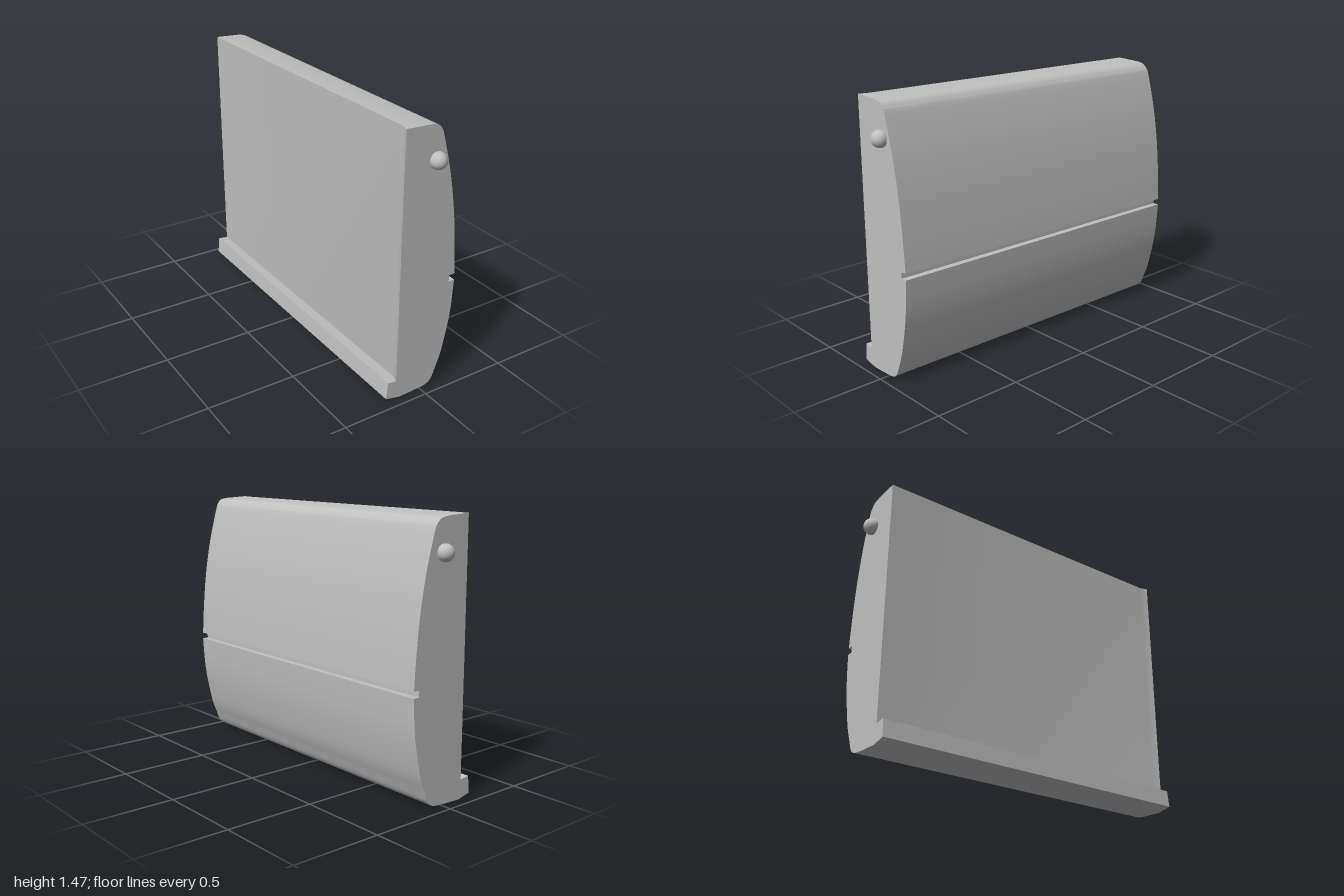
import * as THREE from 'three';
import { toCreasedNormals } from 'three/addons/utils/BufferGeometryUtils.js';

const FRONT = 0.945, BACK = -0.94, BEVEL = 0.9;

export function createModel() {
  const group = new THREE.Group();
  const grey = new THREE.MeshStandardMaterial({ color: 0xc0c0c0 });
  grey.name = 'light grey';

  // Sample a smooth bulging curve through a few points
  const curve = (pts, n) => new THREE.SplineCurve(pts.map(p => new THREE.Vector2(...p))).getPoints(n);

  // Cross-section: lip, lower bulge, groove, upper bulge, flat wall
  const lower = curve([[0.0, 0.008], [0.045, 0.016], [0.074, 0.04], [0.1, 0.1],
    [0.135, 0.2], [0.175, 0.4], [0.19, 0.597]], 36);
  const upper = curve([[0.189, 0.632], [0.178, 0.8], [0.157, 1.0], [0.122, 1.2],
    [0.07, 1.4], [0.055, 1.438], [0.034, 1.461], [0.0, 1.47]], 36);
  const profile = [
    new THREE.Vector2(-0.215, 0.021), new THREE.Vector2(-0.13, 0.003),
    ...lower,
    new THREE.Vector2(0.155, 0.597), new THREE.Vector2(0.155, 0.632),
    ...upper,
    new THREE.Vector2(-0.155, 1.477), new THREE.Vector2(-0.155, 0.108),
    new THREE.Vector2(-0.205, 0.115),
  ];
  const body = new THREE.ExtrudeGeometry(new THREE.Shape(profile),
    { depth: 2, steps: 2, bevelEnabled: false });

  // Place the three sections; the wall steps in and the bulge leans out towards the back
  const pos = body.attributes.position;
  for (let i = 0; i < pos.count; i++) {
    let x = pos.getX(i), y = pos.getY(i);
    const s = pos.getZ(i);
    const z = s > 1.5 ? FRONT : s > 0.5 ? BEVEL : BACK;
    const t = (FRONT - z) / (FRONT - BACK);
    if (Math.abs(x + 0.155) < 0.001) {
      if (z < FRONT) x += 0.015;
    } else if (x < -0.15) {
      x += 0.008 * t;
    }
    x += 0.025 * t * THREE.MathUtils.clamp(x / 0.07, 0, 1);
    if (y > 1) y -= 0.01 * t * (y - 1) / 0.477;
    pos.setXYZ(i, x, y, z);
  }
  const panel = new THREE.Mesh(toCreasedNormals(body, Math.PI / 6), grey);
  panel.name = 'curvedPanel';
  group.add(panel);

  // Round hinge pins at both ends
  for (const [name, z] of [['frontPin', 0.955], ['backPin', -0.955]]) {
    const pin = new THREE.Mesh(new THREE.SphereGeometry(0.045, 32, 20), grey);
    pin.name = name;
    pin.position.set(0.034, 1.286, z);
    group.add(pin);
  }
  return group;
}
